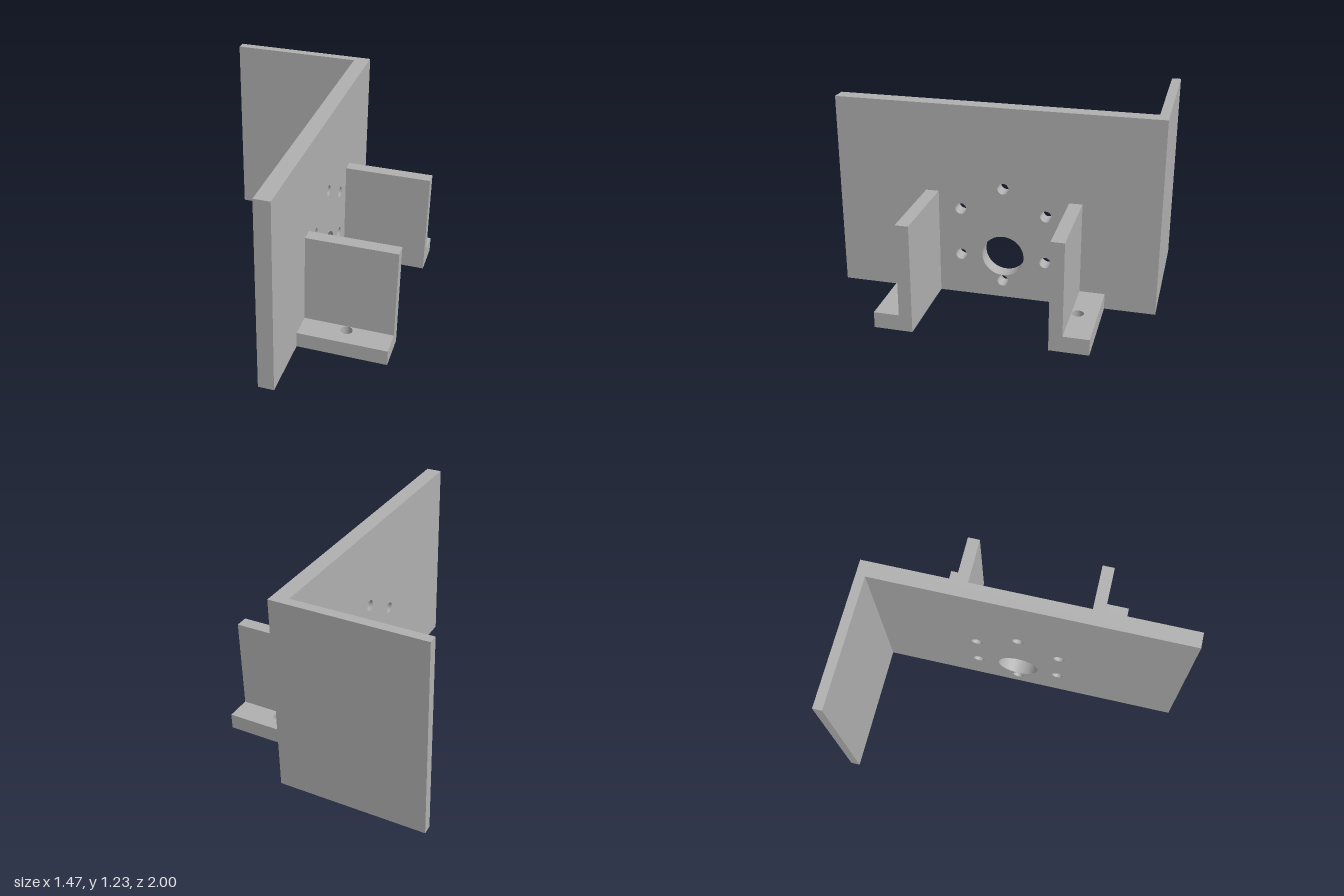
import * as THREE from 'three';

const grey = new THREE.MeshStandardMaterial({ color: 0xb0b0b0 });
grey.name = 'plain grey';

// Rectangle outline with round holes given as [x, y, radius]
function plate(x0, y0, x1, y1, depth, holes) {
  const shape = new THREE.Shape();
  shape.moveTo(x0, y0);
  shape.lineTo(x1, y0);
  shape.lineTo(x1, y1);
  shape.lineTo(x0, y1);
  shape.closePath();
  for (const [x, y, r] of holes) {
    shape.holes.push(new THREE.Path().absarc(x, y, r, 0, Math.PI * 2, true));
  }
  return new THREE.ExtrudeGeometry(shape, { depth, bevelEnabled: false, curveSegments: 24 });
}

function box(x0, x1, y0, y1, z0, z1) {
  return new THREE.BoxGeometry(x1 - x0, y1 - y0, z1 - z0)
    .translate((x0 + x1) / 2, (y0 + y1) / 2, (z0 + z1) / 2);
}

export function createModel() {
  const model = new THREE.Group();
  model.name = 'mountingBracket';
  const add = (name, geometry, parent = model) => {
    const mesh = new THREE.Mesh(geometry, grey);
    mesh.name = name;
    parent.add(mesh);
  };

  const height = 1.23, inner = 0.085, outer = 0.182, right = 0.737;
  const mid = -0.048; // z of the hole pattern and the feet

  // Main plate: shaft hole and a ring of six bolt holes
  const holes = [[-mid, 0.28, 0.131]];
  for (let i = 0; i < 6; i++) {
    const a = Math.PI / 2 + i * Math.PI / 3;
    holes.push([-mid + 0.307 * Math.cos(a), 0.418 + 0.307 * Math.sin(a), 0.035]);
  }
  add('mainPlate', plate(-1, 0, 1, height, outer - inner, holes)
    .rotateY(Math.PI / 2).translate(inner, 0, 0));

  // Thin plate folded away at the back
  add('backPlate', box(-right, inner, 0, height, -1, -0.943));

  // Mirrored angle brackets: upright wall and drilled foot
  for (const s of [1, -1]) {
    const bracket = new THREE.Group();
    bracket.name = s > 0 ? 'frontBracket' : 'rearBracket';
    const z = (offset) => mid + s * offset;
    const span = (a, b) => [Math.min(z(a), z(b)), Math.max(z(a), z(b))];
    add('bracketWall', box(outer, right, 0, 0.675, ...span(0.405, 0.485)), bracket);
    const [z0, z1] = span(0.485, 0.64);
    add('bracketFoot', plate(outer, -z1, right, -z0, 0.1, [[0.457, -z(0.523), 0.036]])
      .rotateX(-Math.PI / 2), bracket);
    model.add(bracket);
  }
  return model;
}
